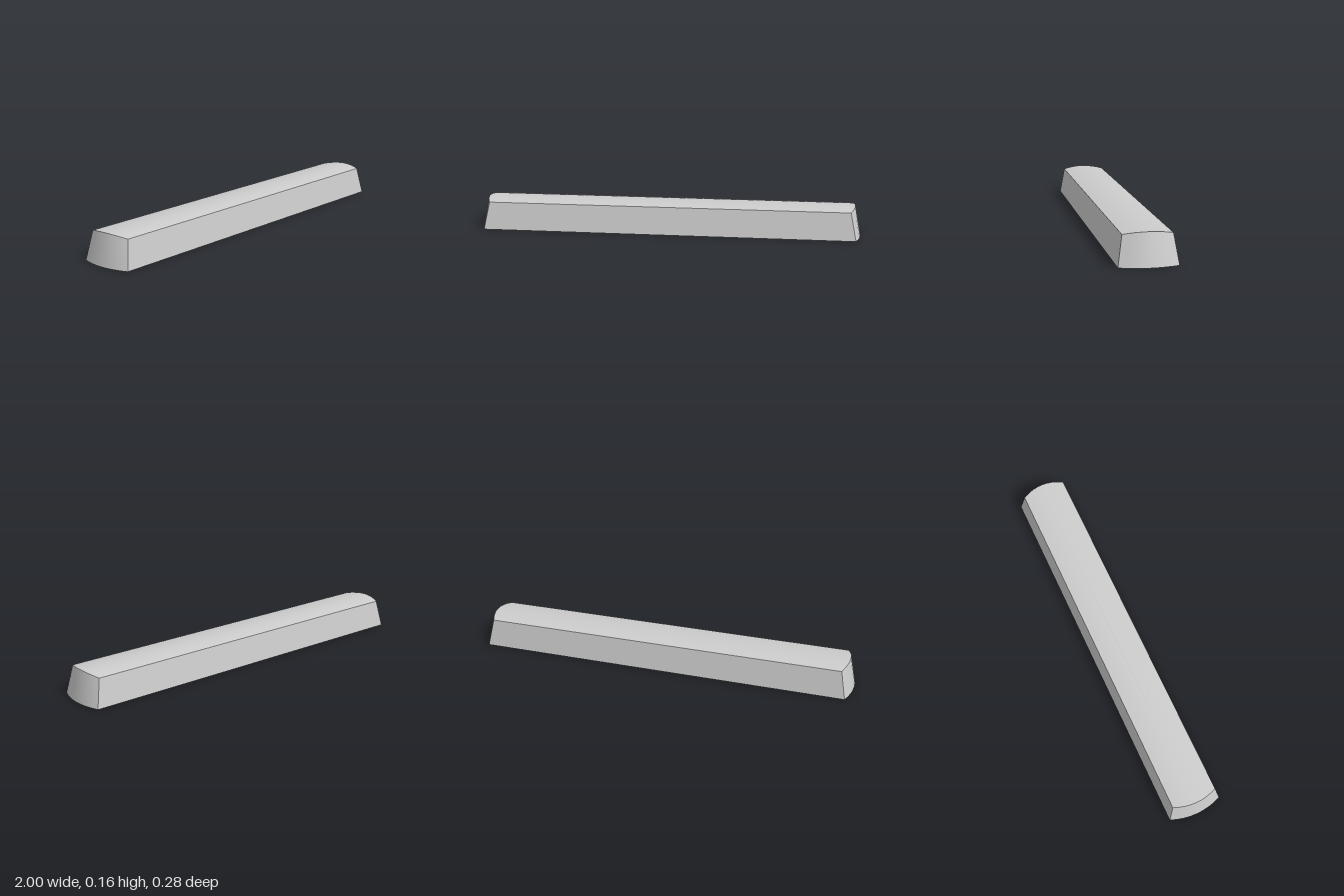
import * as THREE from 'three';
import { toCreasedNormals } from 'three/addons/utils/BufferGeometryUtils.js';

const N = 8; // segments across each bowed end

// Closed outline: +x end from back to front, then -x end from front to back
function outline(halfX, bulge, halfZ, y, crown) {
  const end = [];
  for (let i = 0; i <= N; i++) {
    const t = (2 * i) / N - 1, bow = 1 - t * t;
    end.push(new THREE.Vector3(halfX + bulge * bow, y + crown * bow, halfZ * t));
  }
  const other = end.map((p) => new THREE.Vector3(-p.x, p.y, p.z)).reverse();
  return [...end, ...other];
}

function housingGeometry() {
  const pos = [];
  const quad = (a, b, c, d) => [a, b, c, a, c, d].forEach((p) => pos.push(p.x, p.y, p.z));
  const M = 2 * (N + 1);
  const band = (lo, hi) => {
    for (let i = 0; i < M; i++) {
      const j = (i + 1) % M;
      quad(lo[i], hi[i], hi[j], lo[j]);
    }
  };
  const cap = (r, up) => {
    for (let i = 0; i < N; i++) {
      const a = r[i], b = r[M - 1 - i], c = r[M - 2 - i], d = r[i + 1];
      if (up) quad(a, b, c, d);
      else quad(d, c, b, a);
    }
  };
  const outerLow = outline(0.972, 0.028, 0.139, 0, 0);
  const outerTop = outline(0.943, 0.027, 0.116, 0.143, 0.014);
  const innerLow = outline(0.95, 0.027, 0.117, 0, 0);
  const innerTop = outline(0.925, 0.026, 0.097, 0.123, 0.013);
  band(outerLow, outerTop);  // outer walls
  cap(outerTop, true);       // crowned top
  band(innerLow, outerLow);  // bottom rim
  band(innerTop, innerLow);  // inner walls
  cap(innerTop, false);      // inner ceiling
  const g = new THREE.BufferGeometry();
  g.setAttribute('position', new THREE.Float32BufferAttribute(pos, 3));
  return toCreasedNormals(g, 0.5);
}

export function createModel() {
  const group = new THREE.Group();
  group.name = 'ceilingLight';
  const material = new THREE.MeshStandardMaterial({ color: 0xcccccc });

  const housing = new THREE.Mesh(housingGeometry(), material);
  housing.name = 'housing';
  group.add(housing);

  // Two long lamp tubes recessed in the open underside
  const tubeGeometry = new THREE.CylinderGeometry(0.04, 0.04, 1.87, 20);
  tubeGeometry.rotateZ(Math.PI / 2);
  for (const [name, z] of [['frontTube', 0.05], ['backTube', -0.05]]) {
    const tube = new THREE.Mesh(tubeGeometry, material);
    tube.name = name;
    tube.position.set(0, 0.055, z);
    group.add(tube);
  }
  return group;
}
